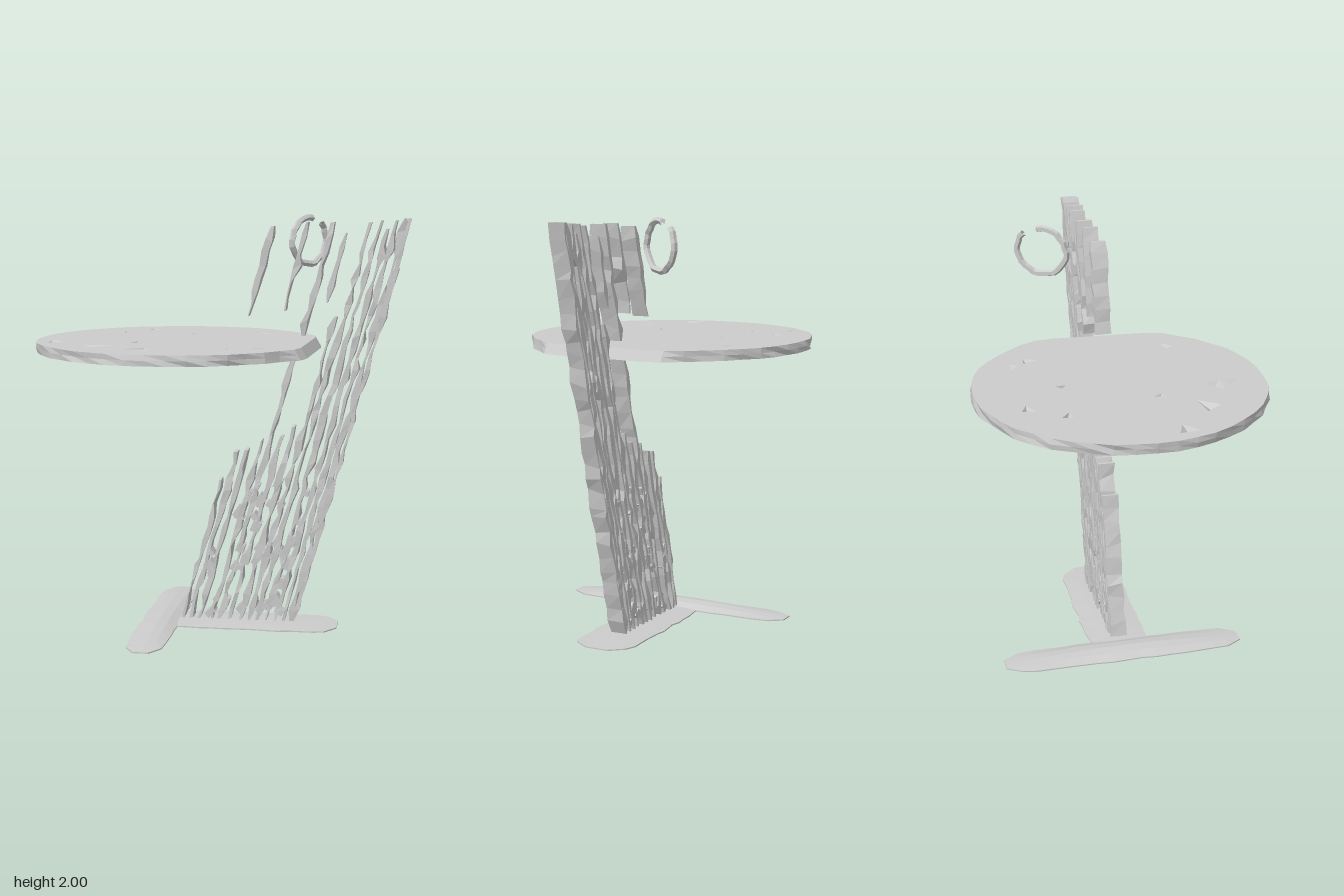
import * as THREE from 'three';

const material = new THREE.MeshStandardMaterial({ color: 0xcccccc, flatShading: true, side: THREE.DoubleSide });

// Repeatable noise in -1..1
function noise(a, b = 0, c = 0) {
  const s = Math.sin(a * 127.1 + b * 311.7 + c * 74.7 + 3.1) * 43758.5453;
  return (s - Math.floor(s)) * 2 - 1;
}

function addMesh(parent, name, geometry) {
  geometry.computeVertexNormals();
  const mesh = new THREE.Mesh(geometry, material);
  mesh.name = name;
  parent.add(mesh);
  return mesh;
}

// Move every vertex of a geometry by a rule
function deform(geometry, rule) {
  const p = geometry.attributes.position;
  const v = new THREE.Vector3();
  for (let i = 0; i < p.count; i++) {
    v.fromBufferAttribute(p, i);
    rule(v);
    p.setXYZ(i, v.x, v.y, v.z);
  }
  return geometry;
}

const LEAN = 0.275;

// Rough leaning slat: x = base + LEAN * y, with a thickness that swells and thins
function slat(base, y0, y1, id) {
  const rows = Math.max(5, Math.round((y1 - y0) / 0.065));
  return deform(new THREE.BoxGeometry(2, rows, 2, 1, rows, 1), (v) => {
    const row = Math.round(v.y + rows / 2);
    const end = row === 0 || row === rows ? 0.5 : 1;
    const sx = Math.sign(v.x), sz = Math.sign(v.z);
    const t = row / rows;
    const y = y0 + (y1 - y0) * t + (end === 1 ? 0.018 * noise(id, row, sx + 3 * sz) : 0);
    const swell = 0.011 + 0.008 * noise(id + 40, row) + 0.004 * noise(id, row, sx * 2 + sz);
    v.set(base + LEAN * y + 0.007 * noise(id + 9, row) + sx * swell * end, y,
      sz * (0.04 + 0.005 * noise(id + 70, row, sz)));
  });
}

// Round top, with one slanting cut edge and small chipped pits
function buildTop(group) {
  const yTop = 1.41, depth = 0.05, cx = -0.21, radius = 0.7;
  const cutX = (z) => 0.42 - 0.055 * (z - 0.04);
  const outline = [];
  const sides = 46;
  for (let i = 0; i < sides; i++) {
    const a = (i / sides) * Math.PI * 2;
    const r = radius - 0.004 + 0.005 * noise(i, 5);
    const z = r * Math.sin(a);
    const x = THREE.MathUtils.clamp(cx + r * Math.cos(a), -0.91, cutX(z));
    outline.push(new THREE.Vector2(x, z));
  }
  const shape = new THREE.Shape(outline);

  // x, z, size of each pit
  const pits = [
    [-0.61, -0.46, 0.03], [-0.42, -0.48, 0.05], [-0.53, -0.32, 0.04], [-0.18, -0.28, 0.035],
    [0.11, -0.45, 0.045], [0.16, -0.37, 0.045], [-0.78, 0.17, 0.06], [-0.4, 0.14, 0.035],
    [-0.56, 0.34, 0.085], [-0.33, 0.42, 0.07], [-0.3, 0.51, 0.045], [0.05, 0.25, 0.035],
    [0.09, 0.37, 0.04], [0.21, 0.33, 0.04],
  ];
  const pitFaces = [];
  pits.forEach(([x, z, size], k) => {
    const corners = [0, 1, 2].map((j) => {
      const a = (j / 3) * Math.PI * 2 + noise(k, 2) * 3 + 0.4 * noise(k, j);
      const r = size * (0.85 + 0.3 * noise(k, j, 7));
      return new THREE.Vector2(x + r * Math.cos(a), z + r * Math.sin(a));
    });
    shape.holes.push(new THREE.Path(corners));
    for (let j = 0; j < 3; j++) {
      const a = corners[j], b = corners[(j + 1) % 3];
      const apex = [x, yTop - depth / 2, z];
      pitFaces.push(b.x, yTop, b.y, a.x, yTop, a.y, ...apex);
      pitFaces.push(a.x, yTop - depth, a.y, b.x, yTop - depth, b.y, ...apex);
    }
  });

  const disc = new THREE.ExtrudeGeometry(shape, { depth, bevelEnabled: false, steps: 2 });
  disc.rotateX(Math.PI / 2);
  deform(disc, (v) => {
    v.y += yTop;
    const down = (yTop - v.y) / depth;
    if (v.x > 0.35 && Math.abs(v.x - cutX(v.z)) < 0.02) {
      v.x += 0.028 * down;
    } else if (Math.hypot(v.x - cx, v.z) > 0.68) {
      // uneven rim
      const a = Math.round(Math.atan2(v.z, v.x - cx) * 50);
      const f = 1 - 0.008 * (1 + noise(a, Math.round(down * 2)));
      v.x = cx + (v.x - cx) * f;
      v.z *= f;
    }
  });
  addMesh(group, 'tableTop', disc);

  const pitGeometry = new THREE.BufferGeometry();
  pitGeometry.setAttribute('position', new THREE.Float32BufferAttribute(pitFaces, 3));
  addMesh(group, 'topPits', pitGeometry);
}

// Low domed foot plate with rounded, slightly wavy ends
function footPlate(length, width, height) {
  return deform(new THREE.BoxGeometry(2, 1, 2, 16, 1, 4), (v) => {
    const u = v.x, w = v.z, up = v.y > 0;
    const round = Math.sqrt(Math.max(0, 1 - Math.pow(Math.abs(u), 7))) * 0.6 + 0.4;
    const wave = 1 + 0.05 * noise(Math.round(u * 8), Math.sign(w));
    const dome = (1 - w * w) * (1 - u * u);
    v.set(u * length / 2, up ? 0.014 + height * dome : 0.008, w * round * wave * width / 2);
  });
}

export function createModel() {
  const group = new THREE.Group();
  group.name = 'sidePedestalTable';

  buildTop(group);

  // T-shaped foot
  const foot = new THREE.Group();
  foot.name = 'foot';
  addMesh(foot, 'footPlate', footPlate(0.89, 0.3, 0.008)).position.x = 0.125;
  const bar = addMesh(foot, 'footCrossbar', footPlate(1.19, 0.19, 0.026));
  bar.rotation.y = Math.PI / 2;
  bar.position.x = -0.3;
  group.add(foot);

  // Leaning slats: base x, bottom, top
  const slats = [
    [-0.2, 0.03, 0.73], [-0.165, 0.03, 0.87], [-0.12, 0.03, 0.88], [-0.06, 0.03, 0.93],
    [-0.02, 0.03, 1.35], [0.03, 0.03, 0.95], [0.08, 0.03, 1.0],
    [0.125, 0.03, 1.53], [0.165, 0.03, 1.98], [0.21, 0.03, 1.99], [0.255, 0.03, 1.95],
    [0.29, 0.03, 1.99], [0.325, 0.03, 2.0], [0.345, 0.03, 2.0],
    // short upper pieces
    [-0.295, 1.53, 1.96], [-0.13, 1.56, 1.98], [-0.01, 1.44, 1.98], [0.065, 1.6, 1.93],
  ];
  const pedestal = new THREE.Group();
  pedestal.name = 'pedestal';
  slats.forEach(([base, y0, y1], i) => addMesh(pedestal, 'slat', slat(base, y0, y1, i + 1)));

  // Small lumps bridging neighbouring slats
  for (let i = 0; i < 44; i++) {
    const y = 0.05 + 0.7 * Math.pow((noise(i, 21) + 1) / 2, 1.2);
    const base = 0.08 + 0.26 * noise(i, 33);
    const lump = addMesh(pedestal, 'slatBridge', new THREE.BoxGeometry(0.04, 0.05, 0.074));
    lump.position.set(base + LEAN * y, y, 0);
    lump.rotation.z = -0.6 + 0.4 * noise(i, 50);
    lump.scale.set(0.8 + 0.3 * noise(i, 3), 0.8 + 0.4 * noise(i, 4), 1);
  }
  group.add(pedestal);

  // Open ring standing on edge beside the pedestal
  const points = [];
  for (let i = 0; i <= 22; i++) {
    const a = THREE.MathUtils.degToRad(80 + (325 * i) / 22);
    const r = 0.113 + 0.005 * noise(i, 12);
    points.push(new THREE.Vector3(r * 1.15 * Math.cos(a), r * Math.sin(a), 0));
  }
  const ring = addMesh(group, 'ring',
    new THREE.TubeGeometry(new THREE.CatmullRomCurve3(points), 26, 0.016, 5, false));
  ring.position.set(0.395, 1.882, -0.245);
  ring.rotation.y = Math.atan2(0.25, 0.17);

  return group;
}
